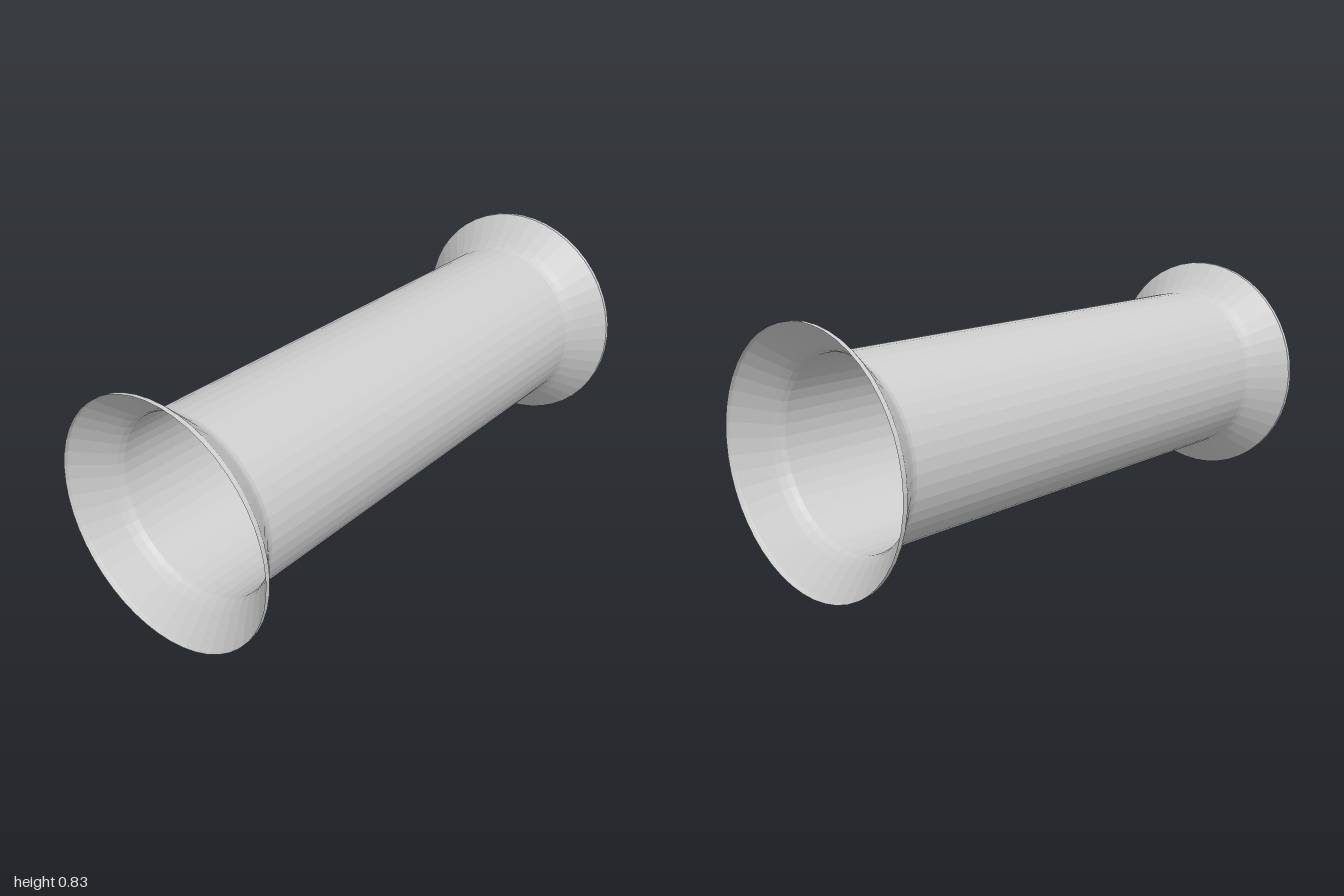
import * as THREE from 'three';

const SIDES = 48;
const RIM = 0.416;

export function createModel() {
  const group = new THREE.Group();
  group.name = 'flaredTube';
  const material = new THREE.MeshStandardMaterial({
    color: 0xcccccc, flatShading: true, side: THREE.DoubleSide,
  });

  // Revolves [radius, z] pairs, ordered back to front, around the z axis
  const addRevolved = (name, profile) => {
    const points = profile.map(([r, z]) => new THREE.Vector2(r, z));
    const geometry = new THREE.LatheGeometry(points, SIDES);
    geometry.rotateX(Math.PI / 2);
    const mesh = new THREE.Mesh(geometry, material);
    mesh.name = name;
    mesh.position.y = RIM;
    group.add(mesh);
  };

  // Straight open barrel
  addRevolved('barrel', [[0.308, -0.855], [0.308, 0.855]]);

  // Bell-shaped ends with a narrow straight lip
  const flare = [[0.308, 0.855], [0.315, 0.873], [0.331, 0.894], [0.414, 0.982], [RIM, 0.985], [RIM, 1]];
  addRevolved('frontFlare', flare);
  addRevolved('backFlare', flare.map(([r, z]) => [r, -z]).reverse());

  return group;
}
